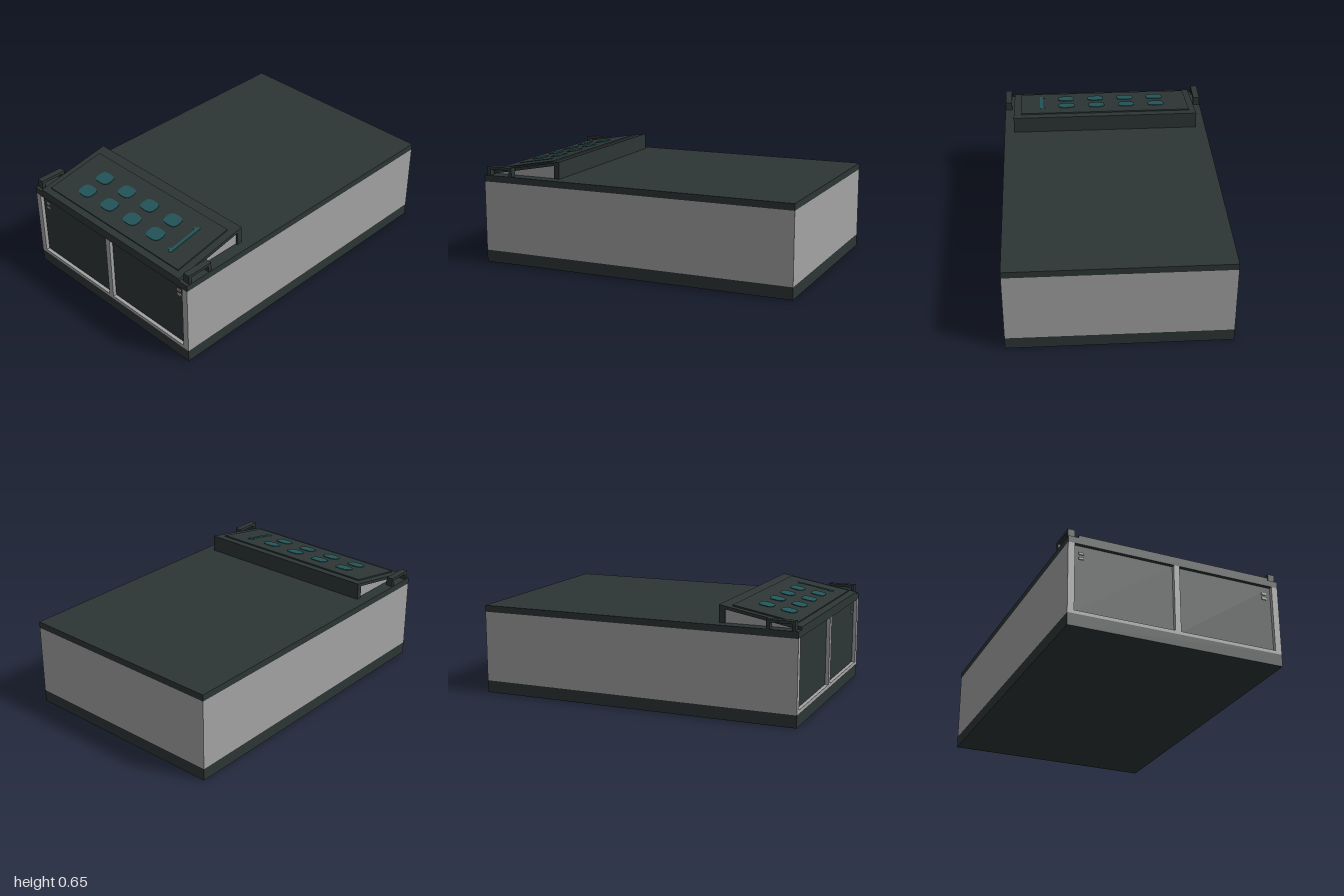
import * as THREE from 'three';

const mat = (name, color) => {
  const m = new THREE.MeshStandardMaterial({ color });
  m.name = name;
  return m;
};

export function createModel() {
  const dark = mat('charcoal', 0x2d3535);
  const grey = mat('wallGrey', 0xa3a3a3);
  const teal = mat('teal', 0x235559);
  const root = new THREE.Group();

  const add = (name, geo, material, parent = root) => {
    const mesh = new THREE.Mesh(geo, material);
    mesh.name = name;
    parent.add(mesh);
    return mesh;
  };
  // Box given by its lower and upper corners
  const box = (name, material, [x0, y0, z0], [x1, y1, z1], parent) => {
    const geo = new THREE.BoxGeometry(x1 - x0, y1 - y0, z1 - z0);
    geo.translate((x0 + x1) / 2, (y0 + y1) / 2, (z0 + z1) / 2);
    return add(name, geo, material, parent);
  };
  // Side outline in x, y extruded between z0 and z1
  const prism = (name, material, points, z0, z1, parent) => {
    const shape = new THREE.Shape(points.map(([x, y]) => new THREE.Vector2(x, y)));
    const geo = new THREE.ExtrudeGeometry(shape, { depth: z1 - z0, bevelEnabled: false });
    geo.translate(0, 0, z0);
    return add(name, geo, material, parent);
  };

  // Main cabinet
  const D = 0.665;
  box('basePlinth', dark, [-1, 0, -D], [1, 0.075, D]);
  box('cabinetWall', grey, [-0.97, 0.075, -D], [1, 0.51, D]);
  box('topSlab', dark, [-1, 0.51, -D], [1, 0.55, D]);

  // Recessed doors and their frame on the -x end
  box('doorSill', grey, [-1, 0.075, -D], [-0.97, 0.095, D]);
  box('centrePost', grey, [-1, 0.095, -0.018], [-0.97, 0.51, 0.018]);
  for (const s of [-1, 1]) {
    const span = (a, b) => (s > 0 ? [a, b] : [-b, -a]);
    const [p0, p1] = span(0.625, D);
    box('cornerPost', grey, [-1, 0.095, p0], [-0.97, 0.51, p1]);
    const [d0, d1] = span(0.018, 0.625);
    box('door', dark, [-0.978, 0.095, d0], [-0.969, 0.51, d1]);
    // Small latch marks near the outer top corner
    for (const y of [0.425, 0.455]) {
      const [l0, l1] = span(0.565, 0.595);
      box('latch', grey, [-0.984, y, l0], [-0.977, y + 0.014, l1]);
    }
  }

  // Sloping console: grey core, dark lid and dark rear wall
  const W = 0.602;
  prism('consoleCore', grey, [[-0.99, 0.55], [-0.53, 0.55], [-0.53, 0.64], [-0.99, 0.555]], -W + 0.012, W - 0.012);
  prism('consoleLid', dark, [[-1, 0.55], [-0.97, 0.55], [-0.545, 0.63], [-0.51, 0.63], [-0.51, 0.655], [-1, 0.565]], -W, W);
  box('consoleRearWall', dark, [-0.545, 0.55, -W], [-0.51, 0.64, W]);

  // Control panel lying on the slope
  const panel = new THREE.Group();
  panel.name = 'controlPanel';
  panel.position.set(-0.755, 0.61, 0);
  panel.rotation.z = Math.atan2(0.09, 0.49);
  root.add(panel);
  box('panelPlate', dark, [-0.208, -0.006, -0.56], [0.183, 0.008, 0.555], panel);

  // Rounded buttons in two columns
  const button = new THREE.Shape();
  for (let i = 0; i < 24; i++) {
    const a = (i / 24) * Math.PI * 2;
    const round = (v) => Math.sign(v) * Math.sqrt(Math.abs(v)) ** 1.3;
    const x = 0.044 * round(Math.cos(a));
    const y = 0.054 * round(Math.sin(a));
    if (i) button.lineTo(x, y);
    else button.moveTo(x, y);
  }
  const buttonGeo = new THREE.ExtrudeGeometry(button, { depth: 0.006, bevelEnabled: false });
  buttonGeo.rotateX(-Math.PI / 2);
  for (const x of [-0.092, 0.046]) {
    for (const z of [-0.35, -0.15, 0.05, 0.25]) {
      add('button', buttonGeo, teal, panel).position.set(x, 0.006, z);
    }
  }
  // Indicator bar with two small ticks
  box('indicatorBar', teal, [-0.143, 0.006, 0.408], [0.093, 0.011, 0.428], panel);
  for (const x of [-0.125, 0.075]) {
    box('indicatorTick', teal, [x - 0.008, 0.006, 0.393], [x + 0.008, 0.011, 0.408], panel);
  }

  // Arched grab handles beside the console
  for (const z of [-0.64, 0.64]) {
    prism('grabHandle', dark, [
      [-0.98, 0.55], [-0.96, 0.55], [-0.96, 0.588], [-0.83, 0.588],
      [-0.83, 0.55], [-0.81, 0.55], [-0.81, 0.605], [-0.98, 0.605],
    ], z - 0.021, z + 0.021);
  }
  return root;
}
